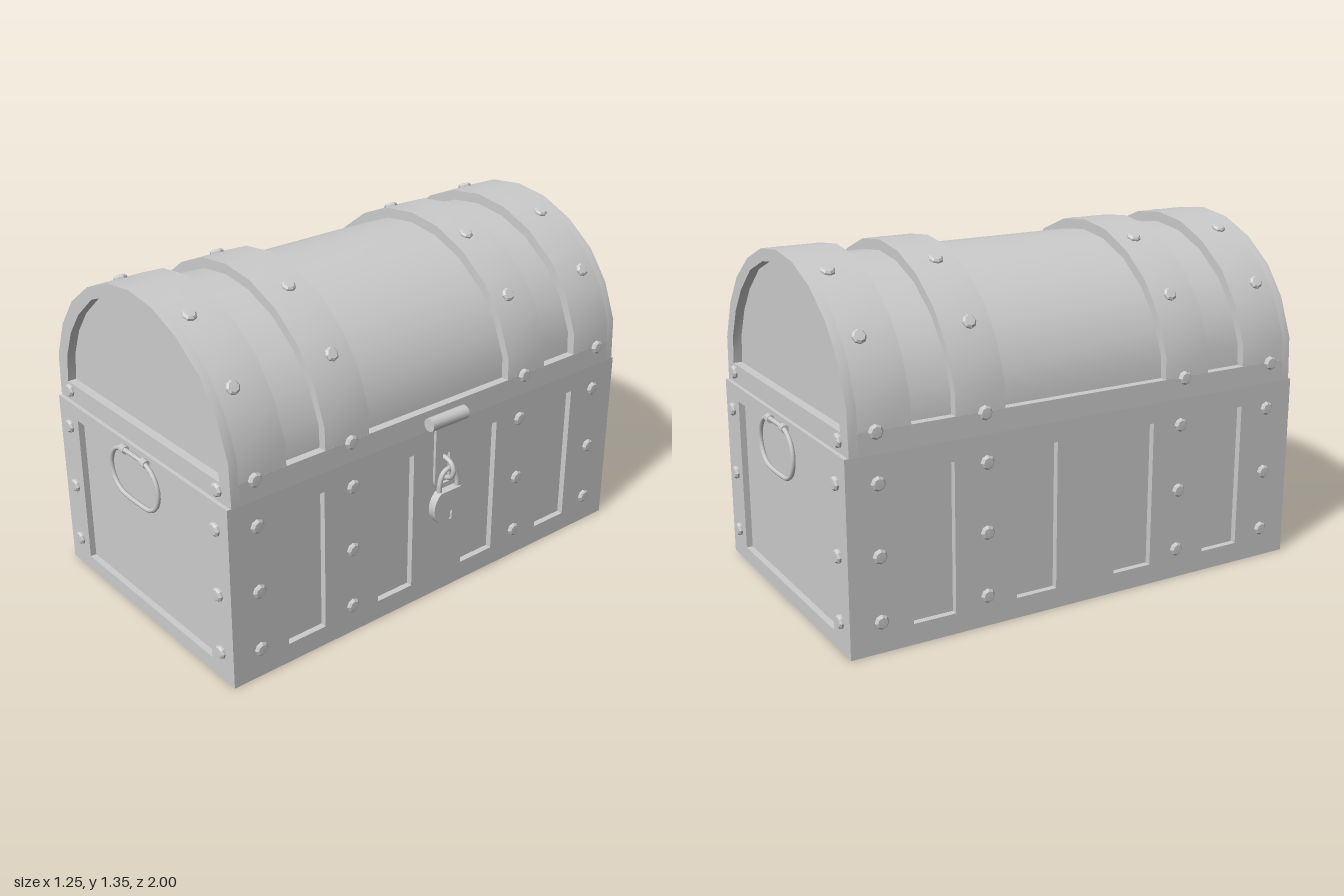
import * as THREE from 'three';
import { toCreasedNormals } from 'three/addons/utils/BufferGeometryUtils.js';

const mat = new THREE.MeshStandardMaterial({ color: 0xcccccc });
const V = (x, y, z) => new THREE.Vector3(x, y, z);

// Half profiles of the lid (distance from its middle, height)
const OUTER = [[0.574, 0.735], [0.567, 0.906], [0.508, 1.055], [0.42, 1.172], [0.292, 1.267], [0.146, 1.327], [0, 1.345]];
const PANEL = [[0.54, 0.78], [0.534, 0.905], [0.478, 1.04], [0.397, 1.143], [0.276, 1.233], [0.137, 1.288], [0, 1.305]];
const INNER = [[0.51, 0.812], [0.497, 0.925], [0.45, 1.035], [0.379, 1.13], [0.268, 1.226], [0.133, 1.282], [0, 1.3]];

const mirrored = half => [...half, ...half.slice(0, -1).reverse().map(([x, y]) => [-x, y])]
  .map(([x, y]) => new THREE.Vector2(x, y));

function rectHole(x0, x1, y0, y1) {
  return new THREE.Path([[x0, y0], [x0, y1], [x1, y1], [x1, y0]].map(p => new THREE.Vector2(...p)));
}

// Extrusion along z from z0 to z1
function slab(points, z0, z1, holes = []) {
  const shape = new THREE.Shape(points);
  shape.holes.push(...holes);
  const g = new THREE.ExtrudeGeometry(shape, { depth: z1 - z0, bevelEnabled: false, curveSegments: 12 });
  return toCreasedNormals(g.translate(0, 0, z0), 0.6);
}

function add(parent, name, geometry) {
  const mesh = new THREE.Mesh(geometry, mat);
  mesh.name = name;
  parent.add(mesh);
  return mesh;
}

function rect(w, y0, y1) {
  return [[-w, y0], [w, y0], [w, y1], [-w, y1]].map(p => new THREE.Vector2(...p));
}

// Eight-sided stud with a bevelled rim, pointing along +y
const studGeometry = toCreasedNormals(new THREE.LatheGeometry(
  [[0.027, -0.012], [0.027, 0.007], [0.02, 0.014], [0, 0.015]].map(p => new THREE.Vector2(...p)), 8), 0.3);

function stud(parent, position, normal) {
  const m = add(parent, 'stud', studGeometry);
  m.position.copy(position);
  m.quaternion.setFromUnitVectors(V(0, 1, 0), normal.normalize());
}

function buildBody() {
  const body = new THREE.Group();
  body.name = 'body';
  add(body, 'bodyCore', new THREE.BoxGeometry(1.09, 0.733, 1.89)).position.y = 0.3675;
  // Frames with the recessed panels cut out
  const sideHoles = [[0.555, 0.725], [0.13, 0.3], [-0.3, -0.13], [-0.725, -0.555]]
    .map(([a, b]) => rectHole(a, b, 0.08, 0.655));
  const side = slab(rect(0.945, 0, 0.735), 0.54, 0.57, sideHoles);
  const end = slab(rect(0.57, 0, 0.735), 0.94, 0.97, [rectHole(-0.433, 0.433, 0.06, 0.675)]);
  for (const s of [1, -1]) {
    add(body, 'longSideFrame', side).rotation.y = s * Math.PI / 2;
    add(body, 'endFrame', end).rotation.y = s > 0 ? 0 : Math.PI;
    for (const y of [0.12, 0.365, 0.63]) {
      for (const z of [-0.85, -0.425, 0.425, 0.85]) stud(body, V(s * 0.57, y, z), V(s, 0, 0));
      for (const x of [-0.495, 0.495]) stud(body, V(x, y, s * 0.97), V(0, 0, s));
    }
  }
  return body;
}

function buildLid() {
  const lid = new THREE.Group();
  lid.name = 'lid';
  add(lid, 'lidPanel', slab(mirrored(PANEL), -0.92, 0.92));
  // Rim along the foot of the lid
  const rim = [[-0.574, 0.735], [0.574, 0.735], [0.571, 0.818], [-0.571, 0.818]].map(p => new THREE.Vector2(...p));
  add(lid, 'lidRim', slab(rim, -0.92, 0.92));
  // Raised straps and the open arches at both ends
  const outer = mirrored(OUTER);
  const strap = slab(outer, 0.35, 0.55);
  const endStrap = slab(outer, 0.72, 0.92);
  const arch = slab(outer, 0.92, 0.955, [new THREE.Path(mirrored(INNER))]);
  for (const s of [1, -1]) {
    for (const [name, g] of [['strap', strap], ['endStrap', endStrap], ['endArch', arch]])
      add(lid, name, g).rotation.y = s > 0 ? 0 : Math.PI;
    for (const x of [-0.495, 0.495]) stud(lid, V(x, 0.78, s * 0.955), V(0, 0, s));
    for (const z of [-0.855, -0.435, 0.435, 0.855]) {
      stud(lid, V(s * 0.573, 0.815, z), V(s, 0.04, 0));
      stud(lid, V(s * 0.462, 1.116, z), V(s * 0.8, 0.6, 0));
      stud(lid, V(s * 0.222, 1.296, z), V(s * 0.38, 0.92, 0));
    }
  }
  return lid;
}

function buildHandle() {
  const handle = new THREE.Group();
  handle.name = 'endHandle';
  // Long rounded ring
  const path = [];
  for (let i = 0; i < 24; i++) {
    const a = (i + 0.5) / 24 * Math.PI * 2, c = Math.cos(a);
    path.push(V(c * 0.096 + Math.sign(c) * 0.064, 0.615 + Math.sin(a) * 0.096, 0.987));
  }
  add(handle, 'handleRing', new THREE.TubeGeometry(new THREE.CatmullRomCurve3(path, true), 64, 0.009, 8, true));
  for (const x of [-0.07, 0.07]) {
    const clip = add(handle, 'handleClip', toCreasedNormals(new THREE.CylinderGeometry(0.016, 0.016, 0.032, 10), 0.7));
    clip.rotation.z = Math.PI / 2;
    clip.position.set(x, 0.708, 0.983);
  }
  return handle;
}

function buildLock() {
  const lock = new THREE.Group();
  lock.name = 'latchAndPadlock';
  // Hinge barrel and hasp plate
  const barrel = add(lock, 'hingeBarrel', toCreasedNormals(new THREE.CylinderGeometry(0.027, 0.027, 0.18, 12), 0.7));
  barrel.rotation.x = Math.PI / 2;
  barrel.position.set(0.604, 0.78, 0);
  const plate = new THREE.Shape();
  plate.moveTo(-0.055, 0.78);
  plate.lineTo(-0.055, 0.535);
  plate.absarc(0, 0.535, 0.055, Math.PI, Math.PI * 2, false);
  plate.lineTo(0.055, 0.78);
  const slot = rectHole(-0.018, 0.018, 0.51, 0.635);
  add(lock, 'haspPlate', slab(plate.getPoints(10), 0.595, 0.607, [slot])).rotation.y = Math.PI / 2;
  // Staple through the hasp
  const staple = [V(0.56, 0.613, 0), V(0.61, 0.613, 0), V(0.637, 0.6, 0), V(0.648, 0.573, 0),
    V(0.637, 0.546, 0), V(0.61, 0.533, 0), V(0.56, 0.533, 0)];
  add(lock, 'staple', new THREE.TubeGeometry(new THREE.CatmullRomCurve3(staple), 28, 0.01, 8));
  // Padlock shackle
  const shackle = [V(0.622, 0.46, -0.045), V(0.622, 0.525, -0.044), V(0.622, 0.562, -0.03), V(0.622, 0.577, 0),
    V(0.622, 0.562, 0.03), V(0.622, 0.525, 0.044), V(0.622, 0.46, 0.045)];
  add(lock, 'shackle', new THREE.TubeGeometry(new THREE.CatmullRomCurve3(shackle), 28, 0.01, 8));
  // Padlock body with a keyhole
  const body = new THREE.Shape();
  body.moveTo(0.052, 0.49);
  body.lineTo(-0.052, 0.49);
  body.absarc(0, 0.425, 0.083, Math.PI * 0.78, Math.PI * 2.22, false);
  const key = new THREE.Path();
  key.absarc(0, 0.395, 0.009, -0.9, Math.PI + 0.9, false);
  key.lineTo(-0.006, 0.365);
  key.lineTo(0.006, 0.365);
  add(lock, 'padlockBody', slab(body.getPoints(20), 0.607, 0.632)).rotation.y = Math.PI / 2;
  add(lock, 'padlockFace', slab(body.getPoints(20), 0.632, 0.64, [key])).rotation.y = Math.PI / 2;
  return lock;
}

export function createModel() {
  const chest = new THREE.Group();
  chest.name = 'chest';
  const parts = new THREE.Group();
  parts.name = 'chestParts';
  parts.position.x = -0.035;
  const backHandle = buildHandle();
  backHandle.rotation.y = Math.PI;
  parts.add(buildBody(), buildLid(), buildHandle(), backHandle, buildLock());
  chest.add(parts);
  return chest;
}
